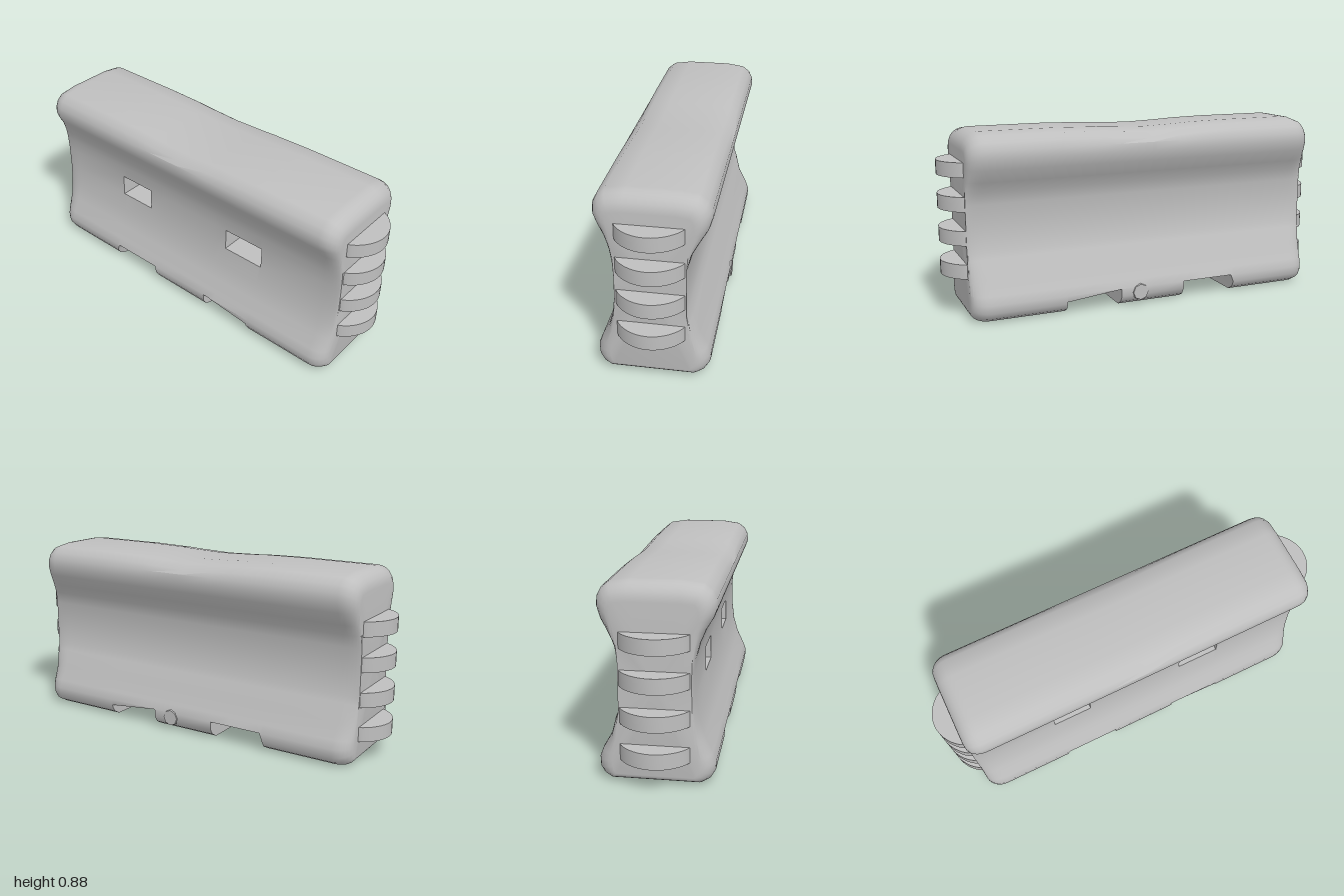
import * as THREE from 'three';
import { toCreasedNormals } from 'three/addons/utils/BufferGeometryUtils.js';

const plastic = new THREE.MeshStandardMaterial({ color: 0xbfbfbf });
plastic.name = 'grey plastic';

// Cross-section as [z, y]: up the front, over the top, down the back.
// A third entry of 1 marks the points pushed in to form the front pockets.
const profile = [
  [0.2, 0], [0.235, 0.02], [0.253, 0.05], [0.255, 0.09], [0.24, 0.13], [0.205, 0.2], [0.18, 0.28],
  [0.165, 0.38], [0.165, 0.38, 1], [0.162, 0.49, 1], [0.162, 0.49],
  [0.17, 0.56], [0.185, 0.62], [0.21, 0.68], [0.24, 0.73], [0.255, 0.77], [0.253, 0.81],
  [0.235, 0.845], [0.2, 0.872], [0.11, 0.885],
  [-0.11, 0.885], [-0.2, 0.872], [-0.235, 0.845], [-0.253, 0.81], [-0.255, 0.77], [-0.24, 0.72],
  [-0.205, 0.66], [-0.175, 0.61], [-0.158, 0.55], [-0.156, 0.32], [-0.175, 0.29], [-0.2, 0.2],
  [-0.24, 0.13], [-0.255, 0.09], [-0.253, 0.05], [-0.235, 0.02], [-0.2, 0],
];

// Stations along x: [x, height of the fork notch, inside a pocket].
const stations = [
  [-0.47, 0, 0], [-0.47, 0, 1], [-0.46, 0, 1], [-0.445, 0.09, 1], [-0.27, 0.09, 1], [-0.27, 0.09, 0],
  [-0.17, 0.09, 0], [-0.17, 0, 0], [0, 0, 0], [0.17, 0, 0], [0.17, 0.09, 0],
  [0.24, 0.082, 0], [0.24, 0.082, 1], [0.45, 0.06, 1], [0.45, 0, 1], [0.46, 0, 1], [0.46, 0, 0],
];

function section(x, lift, pocket, round) {
  const c = Math.cos(round);
  const dip = 0.015 * (1 - THREE.MathUtils.smoothstep(Math.abs(x), 0, 0.4));
  return profile.map(([pz, py, inner]) => {
    let z = pz, y = py;
    // the wide shoulders and feet draw in towards the rounded ends
    if (Math.abs(z) > 0.155) z = Math.sign(z) * (0.155 + (Math.abs(z) - 0.155) * (0.3 + 0.7 * c));
    if (y > 0.72) y = 0.72 + (y - 0.72) * (0.5 + 0.5 * c);
    if (y < 0.12) y = 0.12 - (0.12 - y) * (0.67 + 0.33 * c);
    if (y > 0.84) y -= dip;
    if (inner && pocket) z = 0.04;
    return new THREE.Vector3(x, Math.max(y, lift), z);
  });
}

function bodyGeometry() {
  const sections = [];
  const steps = 6;
  for (let i = steps; i >= 0; i--) {
    const a = (i / steps) * Math.PI / 2;
    sections.push(section(-0.82 - 0.085 * Math.sin(a), 0, 0, a));
  }
  stations.forEach(([x, lift, pocket]) => sections.push(section(x, lift, pocket, 0)));
  for (let i = 0; i <= steps; i++) {
    const a = (i / steps) * Math.PI / 2;
    sections.push(section(0.82 + 0.085 * Math.sin(a), 0, 0, a));
  }
  const positions = [];
  const tri = new THREE.Triangle();
  const add = (a, b, c) => {
    if (tri.set(a, b, c).getArea() > 1e-8) positions.push(...a, ...b, ...c);
  };
  const n = profile.length;
  for (let i = 0; i < sections.length - 1; i++) {
    for (let j = 0; j < n; j++) {
      const k = (j + 1) % n;
      const [s, t] = [sections[i], sections[i + 1]];
      add(s[j], t[j], t[k]);
      add(s[j], t[k], s[k]);
    }
  }
  // end faces
  const first = sections[0], last = sections[sections.length - 1];
  const leftCentre = new THREE.Vector3(first[0].x, 0.44, 0);
  const rightCentre = new THREE.Vector3(last[0].x, 0.44, 0);
  for (let j = 0; j < n; j++) {
    const k = (j + 1) % n;
    add(leftCentre, first[j], first[k]);
    add(rightCentre, last[k], last[j]);
  }
  const g = new THREE.BufferGeometry();
  g.setAttribute('position', new THREE.Float32BufferAttribute(positions, 3));
  return toCreasedNormals(g, 0.6);
}

// Rounded hinge lug, flat in plan, with its base inside the body.
function lugGeometry() {
  const s = new THREE.Shape();
  s.moveTo(0.87, -0.15);
  s.lineTo(0.905, -0.15);
  s.bezierCurveTo(0.95, -0.13, 1, -0.07, 1, 0);
  s.bezierCurveTo(1, 0.07, 0.95, 0.13, 0.905, 0.15);
  s.lineTo(0.87, 0.15);
  s.closePath();
  const g = new THREE.ExtrudeGeometry(s, { depth: 0.07, bevelEnabled: false, curveSegments: 8 });
  g.rotateX(-Math.PI / 2);
  return toCreasedNormals(g, 0.6);
}

export function createModel() {
  const group = new THREE.Group();
  group.name = 'roadBarrier';
  const add = (name, geometry) => {
    const mesh = new THREE.Mesh(geometry, plastic);
    mesh.name = name;
    group.add(mesh);
    return mesh;
  };

  add('body', bodyGeometry());

  // interlocking lugs, staggered between the two ends
  const lug = lugGeometry();
  for (let i = 0; i < 4; i++) {
    add('leftLug', lug).position.y = 0.2 + i * 0.16;
    const right = add('rightLug', lug);
    right.position.y = 0.11 + i * 0.165;
    right.rotation.y = Math.PI;
  }

  // drain plug low on the back
  const plug = add('drainPlug', new THREE.CylinderGeometry(0.04, 0.045, 0.03, 8));
  plug.geometry.rotateX(-Math.PI / 2);
  plug.position.set(0.07, 0.065, -0.245);
  return group;
}
